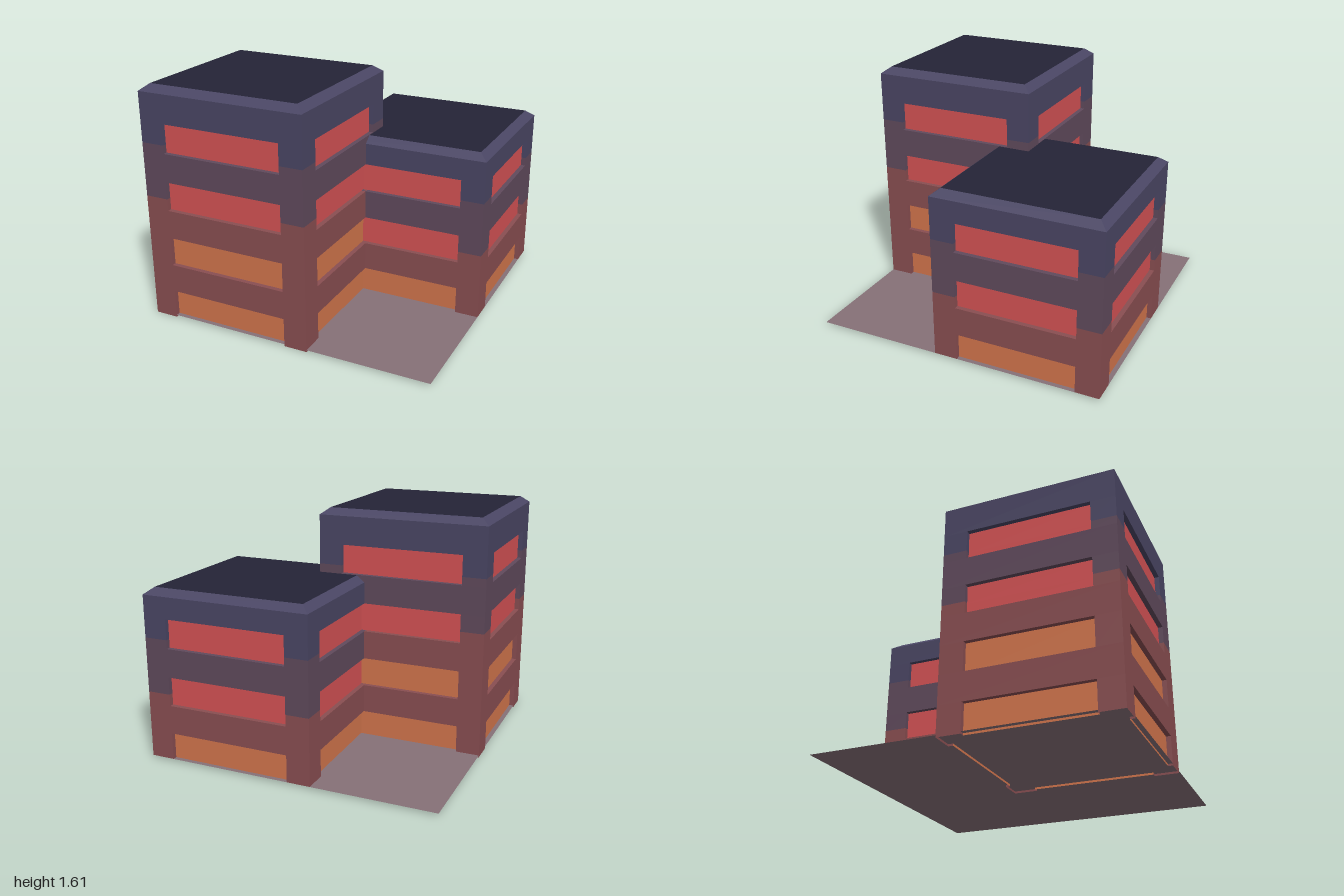
import * as THREE from 'three';

const makeMaterial = (name, color) => {
  const m = new THREE.MeshStandardMaterial({ color });
  m.name = name;
  return m;
};

// Collects flat quads and turns them into one mesh
class QuadMesh {
  constructor() { this.positions = []; }
  // corners counter-clockwise as seen from outside
  add(a, b, c, d) { this.positions.push(...a, ...b, ...c, ...a, ...c, ...d); }
  build(name, material) {
    const g = new THREE.BufferGeometry();
    g.setAttribute('position', new THREE.Float32BufferAttribute(this.positions, 3));
    g.computeVertexNormals();
    const mesh = new THREE.Mesh(g, material);
    mesh.name = name;
    return mesh;
  }
}

const MARGIN = 0.16; // wall between a corner and a window
const DEPTH = 0.032; // window recess
const BEVEL = 0.056; // roof edge inset
const BEVEL_HEIGHT = 0.044;

// One block: ribbon windows on all four sides, three wall bands, bevelled roof
function createTower(name, { x0, x1, z0, z1, base, top, bands, windows }, mats) {
  const hx = (x1 - x0) / 2, hz = (z1 - z0) / 2;
  const parts = {};
  const part = (key) => (parts[key] ??= new QuadMesh());
  const eave = top - BEVEL_HEIGHT;
  const bandAt = (y) => (y < bands[0] ? 'lowerWall' : y < bands[1] ? 'middleWall' : 'upperWall');
  const windowAt = (y) => windows.find((w) => y > w.y0 && y < w.y1);

  // Every height where the wall changes colour or shape
  const levels = [...new Set([base, eave, ...bands, ...windows.flatMap((w) => [w.y0, w.y1])])]
    .sort((a, b) => a - b);

  for (let side = 0; side < 4; side++) {
    const [tx, tz] = [[1, 0], [0, -1], [-1, 0], [0, 1]][side];
    const [nx, nz] = [[0, 1], [1, 0], [0, -1], [-1, 0]][side];
    const hu = side % 2 ? hz : hx;
    const hv = side % 2 ? hx : hz;
    // u runs along the side, inset goes inward from the wall face
    const p = (u, inset, y) => [
      tx * u + nx * (hv - inset), y, tz * u + nz * (hv - inset)];
    const strip = (key, uA, inA, uB, inB, yA, yB) =>
      part(key).add(p(uA, inA, yA), p(uB, inB, yA), p(uB, inB, yB), p(uA, inA, yB));
    const w = hu - MARGIN;

    for (let i = 0; i < levels.length - 1; i++) {
      const yA = levels[i], yB = levels[i + 1], mid = (yA + yB) / 2;
      const wall = bandAt(mid), win = windowAt(mid);
      if (!win) {
        strip(wall, -hu, 0, hu, 0, yA, yB);
        continue;
      }
      // posts, reveals and glass
      strip(wall, -hu, 0, -w, 0, yA, yB);
      strip(wall, -w, 0, -w, DEPTH, yA, yB);
      strip(win.glass, -w, DEPTH, w, DEPTH, yA, yB);
      strip(wall, w, DEPTH, w, 0, yA, yB);
      strip(wall, w, 0, hu, 0, yA, yB);
    }

    // sills and soffits
    for (const { y0, y1 } of windows) {
      if (y0 > base) {
        part(bandAt(y0)).add(p(-w, 0, y0), p(w, 0, y0), p(w, DEPTH, y0), p(-w, DEPTH, y0));
      }
      part(bandAt(y1)).add(p(-w, DEPTH, y1), p(w, DEPTH, y1), p(w, 0, y1), p(-w, 0, y1));
    }

    // sloping roof edge
    part('roofEdge').add(p(-hu, 0, eave), p(hu, 0, eave),
      p(hu - BEVEL, BEVEL, top), p(-hu + BEVEL, BEVEL, top));
  }

  // flat roof
  const rx = hx - BEVEL, rz = hz - BEVEL;
  part('roof').add([-rx, top, rz], [rx, top, rz], [rx, top, -rz], [-rx, top, -rz]);

  const group = new THREE.Group();
  group.name = name;
  for (const [key, quads] of Object.entries(parts)) group.add(quads.build(key, mats[key]));
  group.position.set((x0 + x1) / 2, 0, (z0 + z1) / 2);
  return group;
}

export function createModel() {
  const navy = makeMaterial('navy wall', 0x4a4664);
  const mats = {
    lowerWall: makeMaterial('maroon wall', 0x894e51),
    middleWall: makeMaterial('plum wall', 0x604a5c),
    upperWall: navy,
    roofEdge: navy,
    roof: makeMaterial('dark roof', 0x242336),
    redWindows: makeMaterial('red glass', 0xd45254),
    orangeWindows: makeMaterial('orange glass', 0xd2754c),
  };
  const paving = makeMaterial('paving', 0x867077);
  paving.side = THREE.DoubleSide;
  for (const m of Object.values(mats)) m.side = THREE.DoubleSide;

  const model = new THREE.Group();
  model.name = 'officeBuilding';
  const floor = (i, base, glass) => ({
    y0: i ? i * 0.39 : base, y1: i * 0.39 + 0.197, glass });

  model.add(createTower('tallTower', {
    x0: -1, x1: 0.162, z0: -0.138, z1: 1, base: 0, top: 1.605, bands: [0.86, 1.225],
    windows: ['orangeWindows', 'orangeWindows', 'redWindows', 'redWindows']
      .map((glass, i) => floor(i, 0, glass)),
  }, mats));

  model.add(createTower('shortTower', {
    x0: -0.165, x1: 1, z0: -1, z1: 0.135, base: 0.014, top: 1.167, bands: [0.468, 0.838],
    windows: ['orangeWindows', 'redWindows', 'redWindows']
      .map((glass, i) => floor(i, 0.014, glass)),
  }, mats));

  // paved ground sheet
  const ground = new THREE.Mesh(new THREE.PlaneGeometry(2, 2).rotateX(-Math.PI / 2), paving);
  ground.name = 'ground';
  ground.position.y = 0.014;
  model.add(ground);

  return model;
}
